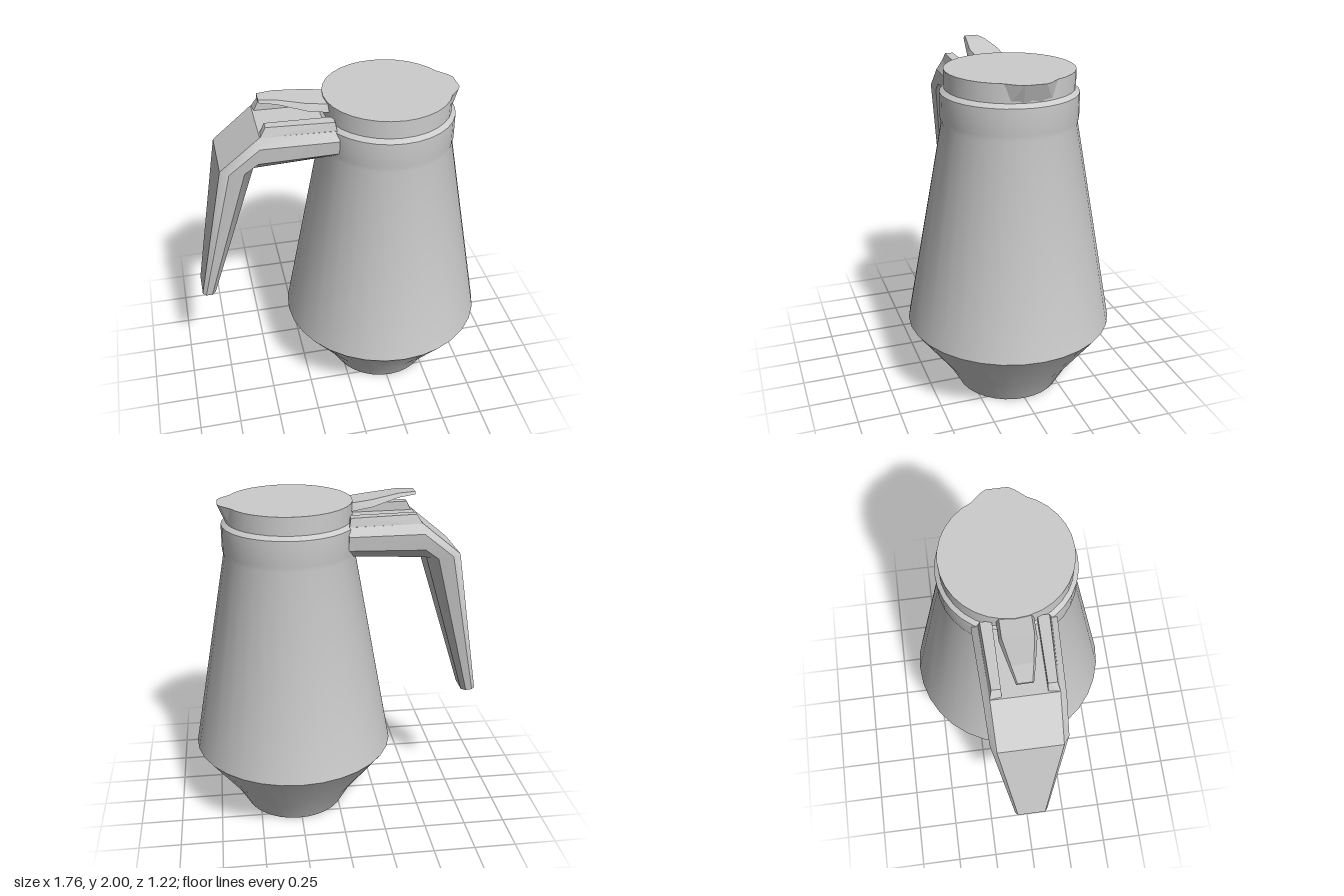
import * as THREE from 'three';
import { toCreasedNormals } from 'three/addons/utils/BufferGeometryUtils.js';
import { ConvexGeometry } from 'three/addons/geometries/ConvexGeometry.js';

const AXIS = 0.27; // x of the jug's centre line
const material = new THREE.MeshStandardMaterial({ color: 0xcccccc });

function part(name, geometry, parent) {
  const mesh = new THREE.Mesh(geometry, material);
  mesh.name = name;
  parent.add(mesh);
  return mesh;
}

// Convex solid from points
const hull = (points) => new ConvexGeometry(points.map((p) => new THREE.Vector3(...p)));

// Convex solid symmetric in z
const mirroredHull = (points) => hull(points.flatMap(([x, y, z]) => [[x, y, z], [x, y, -z]]));

// Skin over eight-sided sections; each runs from an outer to an inner point with a half width
function loft(sections) {
  const shape = [[0, 0.84], [0.25, 1], [0.7, 0.95], [1, 0.62]];
  const ring = [...shape, ...shape.map(([t, w]) => [t, -w]).reverse()];
  const n = ring.length;
  const positions = [];
  const index = [];
  for (const { outer, inner, width } of sections) {
    for (const [t, w] of ring) {
      positions.push(
        THREE.MathUtils.lerp(outer[0], inner[0], t),
        THREE.MathUtils.lerp(outer[1], inner[1], t),
        w * width
      );
    }
  }
  for (let s = 0; s < sections.length - 1; s++) {
    for (let i = 0; i < n; i++) {
      const a = s * n + i;
      const b = s * n + (i + 1) % n;
      index.push(a, b + n, b, a, a + n, b + n);
    }
  }
  const last = (sections.length - 1) * n;
  for (let i = 1; i < n - 1; i++) {
    index.push(0, i, i + 1, last, last + i + 1, last + i);
  }
  const geometry = new THREE.BufferGeometry();
  geometry.setAttribute('position', new THREE.Float32BufferAttribute(positions, 3));
  geometry.setIndex(index);
  return toCreasedNormals(geometry, 0.55);
}

export function createModel() {
  const model = new THREE.Group();
  model.name = 'lidded jug';

  // Body: flared foot, tapering wall, neck band and bevelled collar
  const profile = [
    [0, 0], [0.313, 0], [0.39, 0.14], [0.61, 0.435], [0.385, 1.66],
    [0.391, 1.69], [0.391, 1.838], [0.36, 1.862], [0, 1.862]
  ].map(([r, y]) => new THREE.Vector2(r, y));
  const body = part('body', toCreasedNormals(new THREE.LatheGeometry(profile, 32), 0.5), model);
  body.position.x = AXIS;

  // Lid disc with a pouring lip
  const lid = new THREE.Group();
  lid.name = 'lid';
  model.add(lid);
  const disc = part('lidDisc', new THREE.CylinderGeometry(0.367, 0.367, 0.105, 32), lid);
  disc.position.set(AXIS, 1.9125, 0);
  part('pouringLip', mirroredHull([
    [0.5, 1.965, 0.15], [0.605, 1.965, 0.15], [0.655, 1.965, 0.095], [0.675, 1.965, 0.06],
    [0.5, 1.86, 0.12], [0.61, 1.86, 0.12], [0.632, 1.86, 0.05]
  ]), lid);

  // Thumb lever: a flat root rising to a narrow tip
  const lever = new THREE.Group();
  lever.name = 'thumbLever';
  lid.add(lever);
  const steps = [
    { x: -0.05, top: 1.952, bottom: 1.905, width: 0.1 },
    { x: -0.2, top: 1.972, bottom: 1.932, width: 0.1 },
    { x: -0.36, top: 1.998, bottom: 1.975, width: 0.068 },
    { x: -0.46, top: 2.0, bottom: 1.984, width: 0.045 }
  ];
  for (let i = 0; i < steps.length - 1; i++) {
    part('leverSegment', mirroredHull([steps[i], steps[i + 1]].flatMap((s) => [
      [s.x, s.top, s.width * 0.85], [s.x, s.bottom, s.width]
    ])), lever);
  }

  // Handle: horizontal arm bending into a tapering grip
  const handle = new THREE.Group();
  handle.name = 'handle';
  model.add(handle);
  part('armAndGrip', loft([
    { outer: [-0.05, 1.845], inner: [-0.05, 1.66], width: 0.233 },
    { outer: [-0.48, 1.85], inner: [-0.505, 1.635], width: 0.217 },
    { outer: [-0.71, 1.66], inner: [-0.52, 1.632], width: 0.211 },
    { outer: [-0.88, 0.735], inner: [-0.8, 0.717], width: 0.1 }
  ]), handle);

  // Twin rails along the arm, leaving a channel under the lever
  for (const side of [1, -1]) {
    part('armRail', hull([
      [-0.055, 1.83, 0.12], [-0.055, 1.83, 0.196], [-0.065, 1.895, 0.12], [-0.065, 1.895, 0.184],
      [-0.48, 1.83, 0.12], [-0.48, 1.845, 0.184], [-0.445, 1.902, 0.12], [-0.445, 1.902, 0.17]
    ].map(([x, y, z]) => [x, y, z * side])), handle);
  }

  return model;
}
